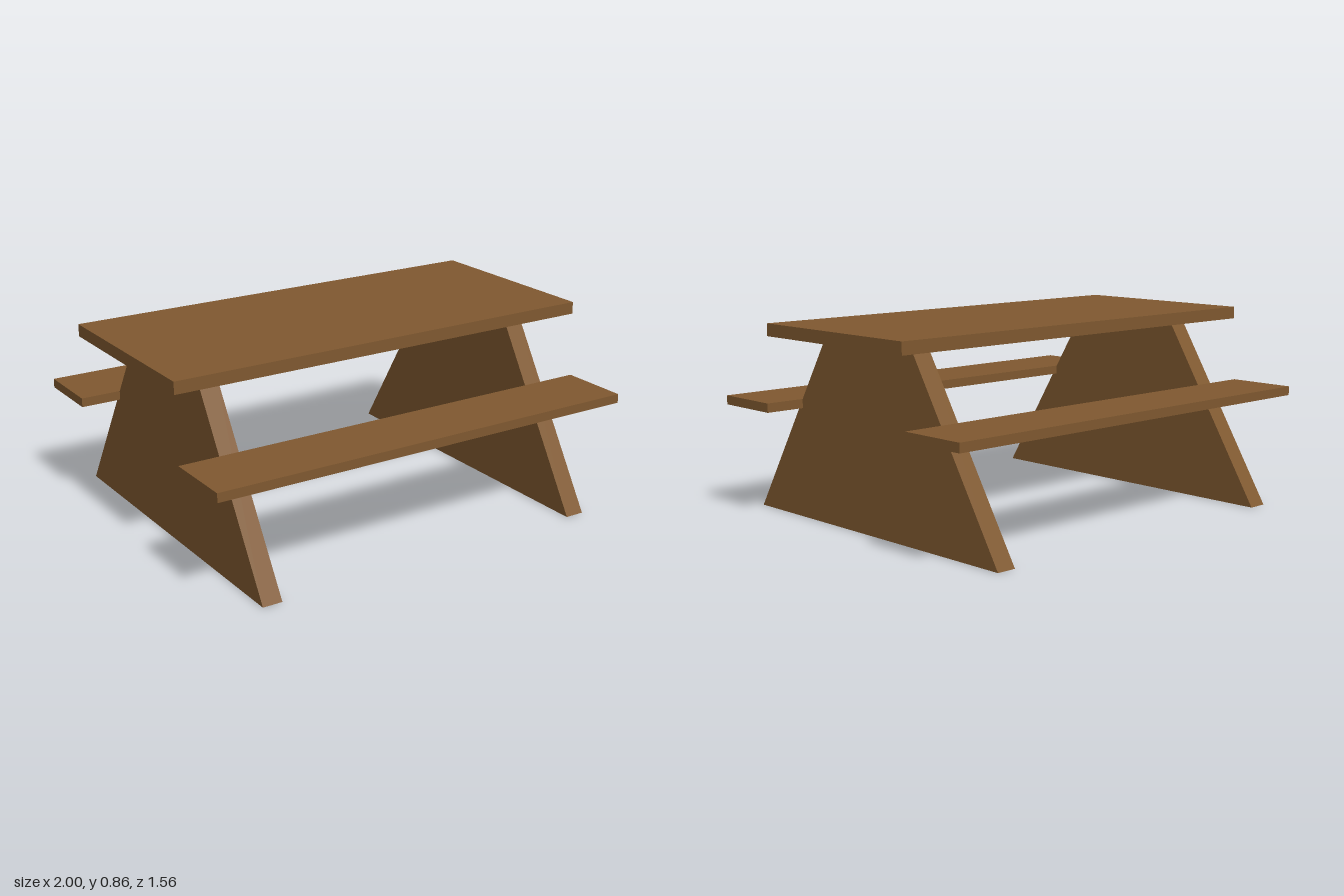
import * as THREE from 'three';

export function createModel() {
  const model = new THREE.Group();
  model.name = 'picnicTable';
  const wood = new THREE.MeshStandardMaterial({ color: 0x805930 });
  wood.name = 'brown wood';

  const addPlank = (name, depth, bottom, top, z) => {
    const plank = new THREE.Mesh(new THREE.BoxGeometry(2, top - bottom, depth), wood);
    plank.name = name;
    plank.position.set(0, (bottom + top) / 2, z);
    model.add(plank);
  };

  // Table top and the two benches
  addPlank('tableTop', 0.888, 0.808, 0.862, 0);
  addPlank('frontBench', 0.312, 0.481, 0.521, 0.612);
  addPlank('backBench', 0.312, 0.481, 0.521, -0.612);

  // Solid trapezoid end supports, extruded along x
  const thickness = 0.088;
  const outline = new THREE.Shape([
    new THREE.Vector2(-0.778, 0),
    new THREE.Vector2(0.778, 0),
    new THREE.Vector2(0.278, 0.808),
    new THREE.Vector2(-0.278, 0.808),
  ]);
  const supportGeometry = new THREE.ExtrudeGeometry(outline, { depth: thickness, bevelEnabled: false });
  supportGeometry.translate(0, 0, -thickness / 2).rotateY(Math.PI / 2);
  for (const [name, side] of [['leftSupport', 1], ['rightSupport', -1]]) {
    const support = new THREE.Mesh(supportGeometry, wood);
    support.name = name;
    support.position.x = side * 0.776;
    model.add(support);
  }
  return model;
}
